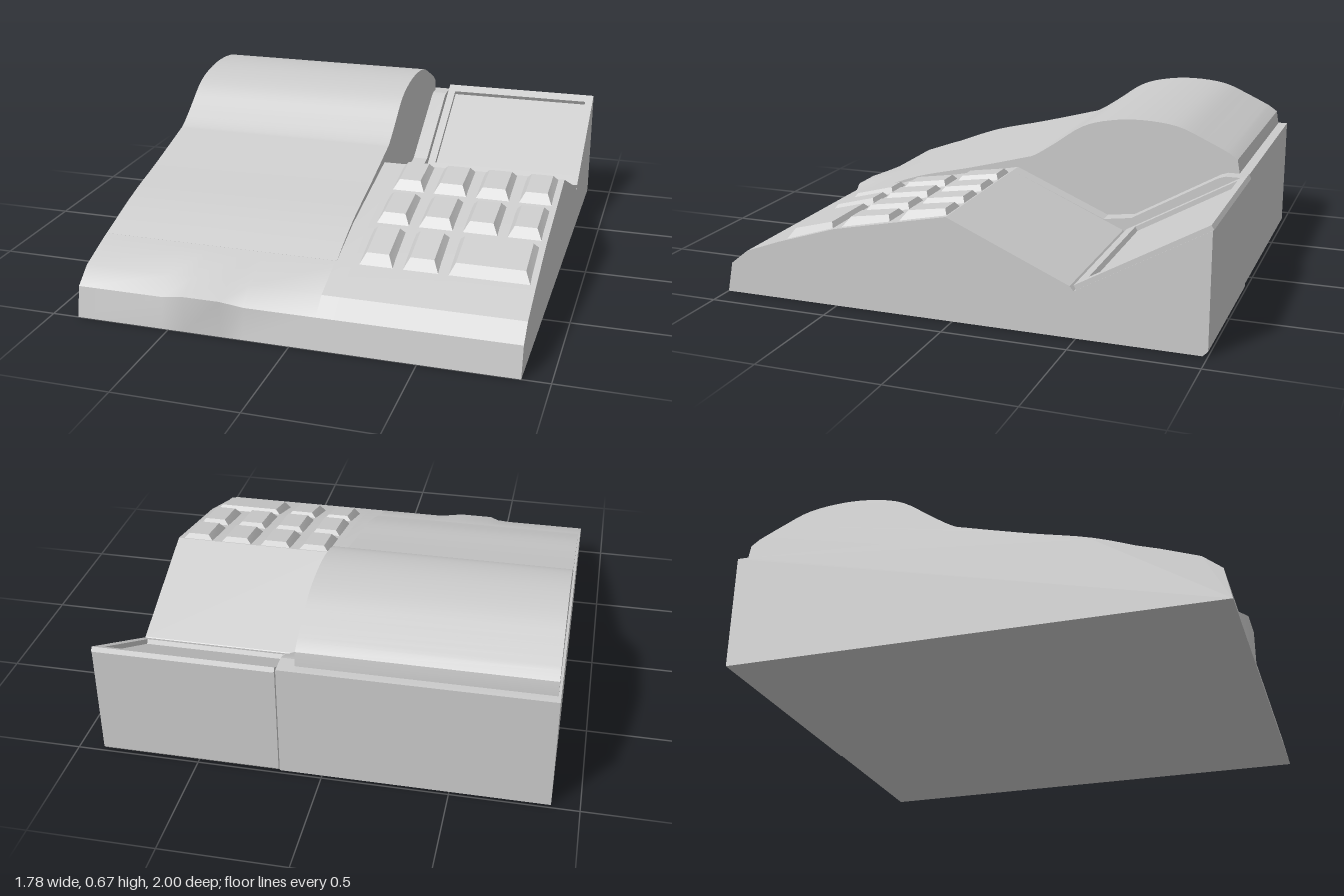
import * as THREE from 'three';
import { toCreasedNormals } from 'three/addons/utils/BufferGeometryUtils.js';

const grey = new THREE.MeshStandardMaterial({ color: 0xcccccc });

function add(parent, name, geometry) {
  const mesh = new THREE.Mesh(geometry, grey);
  mesh.name = name;
  parent.add(mesh);
  return mesh;
}

// Solid through [x, profile] stations; profiles are [z, y] from front bottom over the top to the back
function loft(stations, crease = 0.5) {
  const n = stations[0][1].length;
  const pos = [], idx = [];
  for (const [x, profile] of stations) for (const [z, y] of profile) pos.push(x, y, z);
  for (let s = 0; s < stations.length - 1; s++) {
    for (let i = 0; i < n; i++) {
      const j = (i + 1) % n, a = s * n, b = a + n;
      idx.push(a + i, b + i, b + j, a + i, b + j, a + j);
    }
  }
  const cap = (k, flip) => {
    const contour = stations[k][1].map(([z, y]) => new THREE.Vector2(z, y));
    for (const [a, b, c] of THREE.ShapeUtils.triangulateShape(contour, [])) {
      const o = k * n;
      if (flip) idx.push(o + a, o + c, o + b);
      else idx.push(o + a, o + b, o + c);
    }
  };
  cap(0, false);
  cap(stations.length - 1, true);
  const g = new THREE.BufferGeometry();
  g.setAttribute('position', new THREE.Float32BufferAttribute(pos, 3));
  g.setIndex(idx);
  return toCreasedNormals(g, crease);
}

// Sloping deck shared by the casing and the keys
const deck = [[0.9, 0.185], [0.75, 0.24], [0.5, 0.32], [0.02, 0.42]];
function deckHeight(z) {
  for (let i = 0; i < deck.length - 1; i++) {
    const [z0, y0] = deck[i], [z1, y1] = deck[i + 1];
    if (z >= z1 || i === deck.length - 2) return y0 + (y1 - y0) * (z - z0) / (z1 - z0);
  }
}

// Key: box with a bevelled top that follows the deck
function keyGeometry(x0, x1, z0, z1) {
  const g = new THREE.BoxGeometry(1, 1, 1);
  const p = g.attributes.position;
  for (let i = 0; i < p.count; i++) {
    const right = p.getX(i) > 0, top = p.getY(i) > 0, front = p.getZ(i) > 0;
    const side = top ? 0.03 : 0;
    const x = right ? x1 - side : x0 + side;
    const z = front ? z1 - (top ? 0.04 : 0) : z0 + (top ? 0.02 : 0);
    const y = deckHeight(z) + (top ? (front ? 0.033 : 0.024) : -0.012);
    p.setXYZ(i, x, y, z);
  }
  g.computeVertexNormals();
  return g;
}

export function createModel() {
  const model = new THREE.Group();
  model.name = 'deskTerminal';

  // Left casing, with a small lip swelling out of the front edge
  const leftProfile = (lip) => [
    [1, 0], [0.975 + 0.025 * lip, 0.125 + 0.025 * lip], [0.9, 0.185 + 0.007 * lip],
    ...deck.slice(1), [-0.95, 0.478], [-0.985, 0.478], [-0.985, 0]];
  const lipStations = [[-0.89, 0], [-0.53, 0], [-0.43, 1], [-0.28, 1], [-0.19, 0], [0.1, 0]];
  add(model, 'leftCasing', loft(lipStations.map(([x, lip]) => [x, leftProfile(lip)])));

  // Narrow rib between the hump and the display
  const front = [[1, 0], [0.975, 0.125], ...deck];
  const rib = [...front, [-0.39, 0.245], [-0.51, 0.262], [-0.87, 0.468], [-0.9, 0.478], [-0.985, 0.478], [-0.985, 0]];
  add(model, 'rib', loft([[0.1, rib], [0.17, rib]], 0.3));

  // Right casing with keypad deck, valley and display bed
  const right = [...front, [-0.475, 0.205], [-0.49, 0.187], [-1, 0.477], [-1, 0.02], [-0.98, 0]];
  add(model, 'rightCasing', loft([[0.17, right], [0.89, right]], 0.3));

  // Raised rounded cover
  const crown = new THREE.SplineCurve([
    [0.72, 0.25], [0.5, 0.333], [0.25, 0.395], [0, 0.462], [-0.06, 0.482], [-0.15, 0.54], [-0.27, 0.622],
    [-0.39, 0.658], [-0.53, 0.67], [-0.68, 0.655], [-0.8, 0.607], [-0.9, 0.56],
  ].map(([z, y]) => new THREE.Vector2(z, y))).getPoints(44).map((v) => [v.x, v.y]);
  const hump = [[0.72, 0.2], ...crown, [-0.935, 0.535], [-0.945, 0.48], [-0.945, 0.2]];
  add(model, 'roundedCover', loft([[-0.88, hump], [0.105, hump]]));

  // Display frame lying on the sloping bed
  const frame = new THREE.Shape([[0, 0], [0.72, 0], [0.72, 0.58], [0, 0.58]].map((p) => new THREE.Vector2(...p)));
  frame.holes.push(new THREE.Path(
    [[0.035, 0.055], [0.035, 0.535], [0.685, 0.535], [0.685, 0.055]].map((p) => new THREE.Vector2(...p))));
  const bezel = add(model, 'displayFrame', new THREE.ExtrudeGeometry(frame, { depth: 0.02, bevelEnabled: false }));
  bezel.rotation.x = -Math.atan2(0.51, 0.29);
  bezel.position.set(0.17, 0.193, -0.5);

  // Keypad: three rows, the front row ending in a double-width key
  const keypad = new THREE.Group();
  keypad.name = 'keypad';
  model.add(keypad);
  const columns = [[0.19, 0.34], [0.365, 0.52], [0.545, 0.7], [0.725, 0.875]];
  const rows = [[0.02, 0.235], [0.26, 0.485], [0.51, 0.735]];
  rows.forEach(([z0, z1], r) => {
    columns.forEach(([x0, x1], c) => {
      if (r === 2 && c === 3) return;
      const wide = r === 2 && c === 2;
      add(keypad, wide ? 'wideKey' : 'key', keyGeometry(x0, wide ? 0.875 : x1, z0, z1));
    });
  });

  return model;
}
